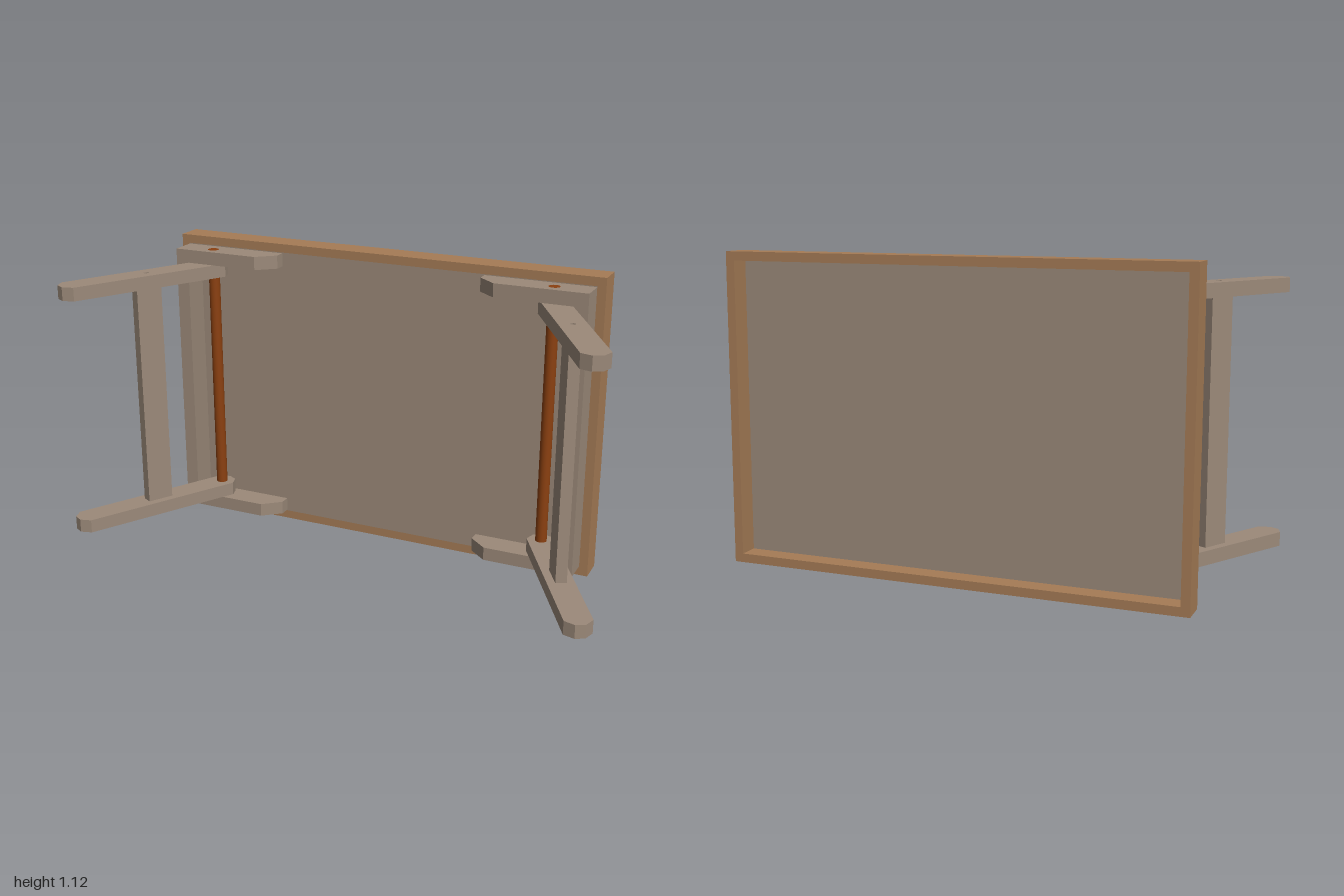
import * as THREE from 'three';

const wood = new THREE.MeshStandardMaterial({ color: 0x9c8a7a });
const frameWood = new THREE.MeshStandardMaterial({ color: 0xa67c56 });
const dowelWood = new THREE.MeshStandardMaterial({ color: 0x8b4010 });

const W = 1.678, H = 1.122, T = 0.098, RIM = 0.032; // tray
const THICK = 0.05;                                 // legs and brackets
const PIVOT_U = 0.672, PIVOT_V = 0.099, PIN_R = 0.021;
const SPLAY = THREE.MathUtils.degToRad(29);

function add(parent, name, geometry, material = wood) {
  const mesh = new THREE.Mesh(geometry, material);
  mesh.name = name;
  parent.add(mesh);
  return mesh;
}

function outline(points, hole) {
  const shape = new THREE.Shape(points.map(([x, y]) => new THREE.Vector2(x, y)));
  if (hole) shape.holes.push(new THREE.Path().absarc(hole[0], hole[1], hole[2], 0, Math.PI * 2, true));
  return shape;
}

const rect = (w, h) => [[-w / 2, -h / 2], [w / 2, -h / 2], [w / 2, h / 2], [-w / 2, h / 2]];

// Horizontal slab: outline in (x, z), from y0 up to y1
function slab(shape, y0, y1) {
  return new THREE.ExtrudeGeometry(shape, { depth: y1 - y0, bevelEnabled: false, curveSegments: 12 })
    .rotateX(Math.PI / 2).translate(0, y1, 0);
}

export function createModel() {
  const model = new THREE.Group();
  model.name = 'foldingTrayTable';

  // Everything hangs on the slightly turned tray
  const table = new THREE.Group();
  table.name = 'table';
  table.position.set(-0.066, 0, -0.309);
  table.rotation.y = 0.108;
  model.add(table);

  // Rim and panel, with the recess at the back
  const rim = outline(rect(W, H));
  rim.holes.push(outline(rect(W - 2 * RIM, H - 2 * RIM)));
  add(table, 'trayFrame', new THREE.ExtrudeGeometry(rim, { depth: T, bevelEnabled: false })
    .translate(0, H / 2, -T / 2), frameWood);
  add(table, 'trayPanel', new THREE.BoxGeometry(W - 2 * RIM, H - 2 * RIM, 0.025)
    .translate(0, H / 2, T / 2 - 0.0125));

  const yBracket = 0.035, yLeg = yBracket + THICK, yBar = yLeg + THICK;

  for (const s of [-1, 1]) {
    const side = s < 0 ? 'right' : 'left';

    // Pivot brackets with one clipped corner
    const bracket = outline([[0.807, T / 2], [0.807, 0.147], [0.469, 0.147], [0.402, 0.09], [0.402, T / 2]]
      .map(([u, v]) => [s * u, v]), [s * PIVOT_U, PIVOT_V, PIN_R]);
    for (const y of [yBracket, H - yBracket - THICK]) {
      add(table, side + 'Bracket', slab(bracket, y, y + THICK));
    }

    // End board joining the two brackets
    add(table, side + 'EndBoard', new THREE.BoxGeometry(THICK, H - 2 * yLeg, T)
      .translate(s * 0.782, H / 2, T));

    // Swinging leg pair
    const legs = new THREE.Group();
    legs.name = side + 'LegFrame';
    legs.position.set(s * PIVOT_U, 0, PIVOT_V);
    legs.rotation.y = s * SPLAY;
    table.add(legs);

    const screw = [0, 0.29, 0.009];
    const half = [[0.049, -0.02], [0.049, 0.602], [0.018, 0.632]];
    const leg = outline([[0.02, -0.049], ...half,
      ...half.map(([x, y]) => [-x, y]).reverse(), [-0.02, -0.049]], screw);
    for (const y of [yLeg, H - yBar]) add(legs, side + 'Leg', slab(leg, y, y + THICK));

    const bar = outline(rect(0.04, 0.1).map(([x, y]) => [x, y + screw[1]]), screw);
    add(legs, side + 'CrossBar', slab(bar, yBar, H - yBar));

    // Hinge dowel, flush with the outer bracket faces
    add(legs, side + 'Dowel', new THREE.CylinderGeometry(PIN_R, PIN_R, H - 2 * yBracket, 24)
      .translate(0, H / 2, 0), dowelWood);
  }
  return model;
}
